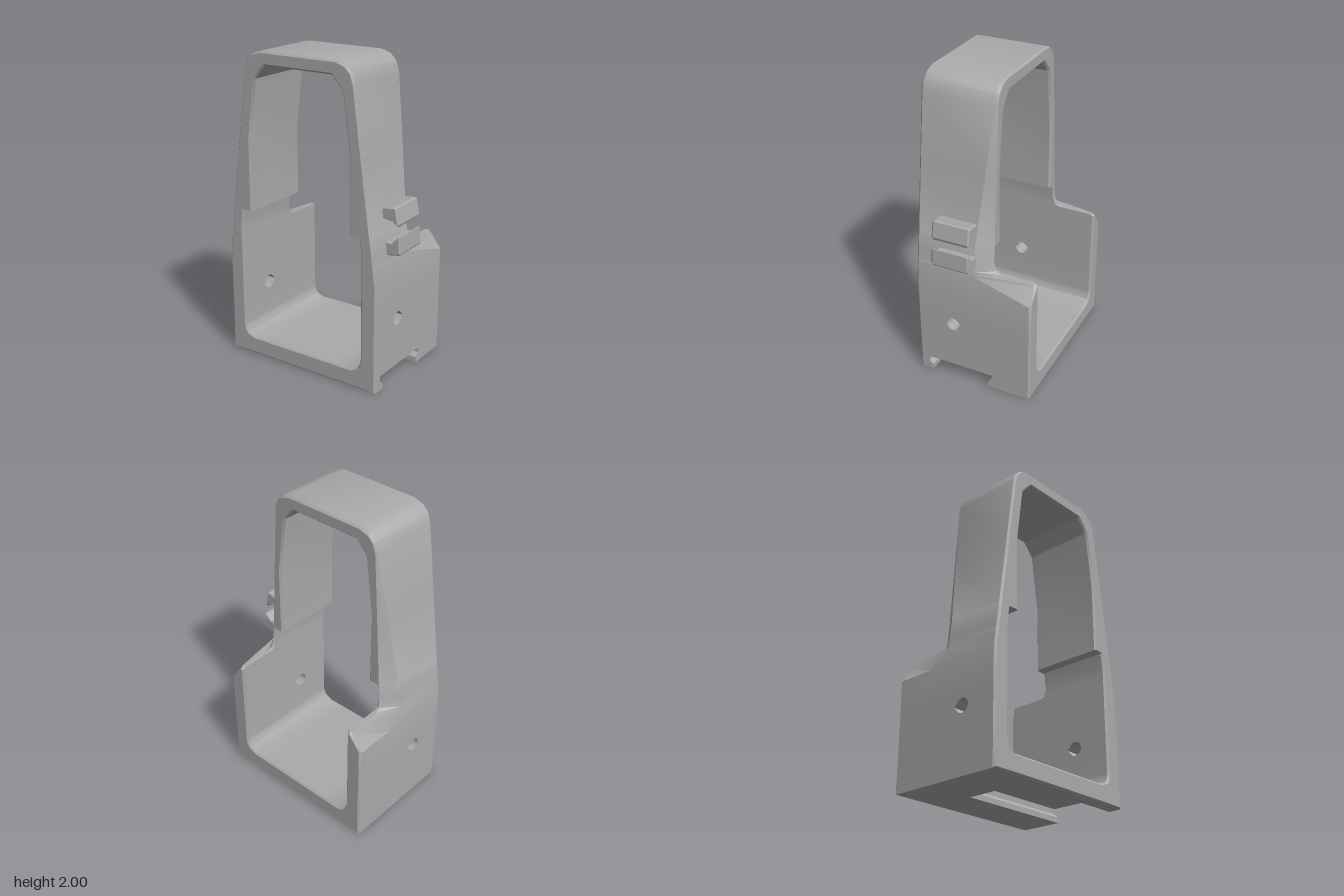
import * as THREE from 'three';
import { toCreasedNormals } from 'three/addons/utils/BufferGeometryUtils.js';

const FRONT = 0.39, BACK = -0.39, BEVEL = 0.012;

// Stations up the right half of the frame:
// outer x, outer y, inner x, inner y, back z, z where the rear chamfer starts, chamfer width
const LOW = [BACK, BACK + BEVEL, 0];
const HALF = [
  [0.235, 0, 0.235, 0.12, ...LOW],
  [0.38, 0, 0.375, 0.12, ...LOW],
  [0.555, 0, 0.425, 0.14, ...LOW],
  [0.555, 0.10, 0.443, 0.175, ...LOW],
  [0.555, 0.20, 0.445, 0.20, ...LOW],
  [0.555, 0.33, 0.445, 0.33, ...LOW],
  [0.555, 0.49, 0.445, 0.49, ...LOW],
  [0.555, 0.70, 0.445, 0.70, BACK, -0.13, 0],
  [0.541, 0.80, 0.445, 0.80, BACK, -0.01, 0.062],
  [0.540, 0.812, 0.445, 0.812, BACK + BEVEL, 0, 0.065],
  [0.539, 0.815, 0.445, 0.815, -0.15, 0, 0.065],
  [0.537, 0.83, 0.445, 0.83, -0.118, 0, 0.065],
  [0.531, 0.88, 0.445, 0.88, -0.10, 0, 0.065],
  [0.516, 0.988, 0.43, 0.988, -0.10, -0.005, 0.059],
  [0.515, 0.99, 0.365, 0.99, -0.10, -0.005, 0.059],
  [0.453, 1.45, 0.365, 1.45, -0.10, -0.048, 0.028],
  [0.395, 1.88, 0.315, 1.83, -0.10, -0.086, 0.001],
  [0.375, 1.94, 0.29, 1.858, -0.10, -0.086, 0.001],
  [0.335, 1.98, 0.265, 1.887, -0.10, -0.086, 0.001],
  [0.27, 2, 0.24, 1.915, -0.10, -0.086, 0.001],
];

// Nine-point bevelled cross-section at one station
function section([ox, oy, ix, iy, zb, cz, cut]) {
  const O = new THREE.Vector2(ox, oy), I = new THREE.Vector2(ix, iy);
  const C = new THREE.Vector2(ox - cut * Math.sign(ox), oy);
  const d = I.clone().sub(O).normalize().multiplyScalar(BEVEL);
  const at = (p, z, k = 0) => [p.x + d.x * k, p.y + d.y * k, z];
  return [
    at(O, FRONT - BEVEL), at(O, FRONT, 1), at(I, FRONT, -1), at(I, FRONT - BEVEL),
    at(I, zb + BEVEL), at(I, zb, -1), at(C, zb, 1), at(C, zb + BEVEL), at(O, cz),
  ];
}

// Closed ring through all stations, leaving gaps for the drilled walls and the slotted base
function frameGeometry() {
  const left = HALF.map(([ox, oy, ix, ...r]) => [-ox, oy, -ix, ...r]).reverse();
  const stations = [...HALF, ...left];
  const rings = stations.map(section);
  const n = stations.length, pos = [];
  for (let j = 0; j < n; j++) {
    const s = stations[j], t = stations[(j + 1) % n];
    const A = rings[j], B = rings[(j + 1) % n];
    const drilled = Math.min(s[1], t[1]) === 0.33 && Math.max(s[1], t[1]) === 0.49;
    const slotted = j < 3 || j === n - 1;
    for (let k = 0; k < 9; k++) {
      if (drilled && (k === 8 || k === 3)) continue;
      if (slotted && k === 8) continue;
      const m = (k + 1) % 9;
      pos.push(...A[k], ...B[m], ...A[m], ...A[k], ...B[k], ...B[m]);
    }
  }
  const g = new THREE.BufferGeometry();
  g.setAttribute('position', new THREE.Float32BufferAttribute(pos, 3));
  return toCreasedNormals(g, 0.5);
}

// Polygon from points given as [z, y], for extruding along x
const sidePoints = (pts) => pts.map(([z, y]) => new THREE.Vector2(-z, y));
function extrudeX(shape, x0, x1) {
  return new THREE.ExtrudeGeometry(shape, { depth: x1 - x0, bevelEnabled: false })
    .rotateY(Math.PI / 2).translate(x0, 0, 0);
}

export function createModel() {
  const model = new THREE.Group();
  const body = new THREE.Group();
  body.name = 'body';
  body.position.x = -0.035;
  model.add(body);

  const grey = new THREE.MeshStandardMaterial({ color: 0xaaaaaa });
  grey.name = 'grey plastic';
  const add = (parent, name, geometry) => {
    const mesh = new THREE.Mesh(geometry, grey);
    mesh.name = name;
    parent.add(mesh);
  };

  add(body, 'frame', frameGeometry());

  // Wall bands with a teardrop hole
  const e = FRONT - BEVEL;
  const band = new THREE.Shape(sidePoints([[e, 0.33], [-e, 0.33], [-e, 0.49], [e, 0.49]]));
  const hole = new THREE.Path();
  hole.absarc(-0.14, 0.41, 0.045, Math.PI / 4, Math.PI * 1.75, false);
  hole.lineTo(-0.08, 0.41);
  hole.closePath();
  band.holes.push(hole);
  add(body, 'rightWallBand', extrudeX(band, 0.445, 0.555));
  add(body, 'leftWallBand', extrudeX(band, -0.555, -0.445));

  // Base with an undercut slot open at the side
  const base = new THREE.Shape(sidePoints([
    [e, 0], [0.30, 0], [0.30, 0.035], [0.33, 0.06], [0.33, 0.095],
    [-0.13, 0.095], [-0.13, 0.06], [-0.10, 0.035], [-0.10, 0], [-e, 0],
    [-e, 0.10], [e, 0.10],
  ]));
  add(body, 'slottedBase', extrudeX(base, -0.235, 0.555));
  add(body, 'slotEnd', new THREE.BoxGeometry(0.02, 0.1, 0.5).translate(-0.245, 0.052, 0.1));

  // Pair of clip jaws on the side
  const clips = new THREE.Group();
  clips.name = 'clip';
  model.add(clips);
  const jaws = {
    upperJaw: [[0.44, 1.08], [0.525, 1.07], [0.565, 1.04], [0.57, 1.055], [0.55, 1.15], [0.54, 1.155], [0.44, 1.14]],
    lowerJaw: [[0.46, 0.87], [0.50, 0.853], [0.575, 0.865], [0.583, 0.875], [0.578, 0.975], [0.57, 0.975], [0.53, 0.935], [0.46, 0.935]],
  };
  for (const [name, pts] of Object.entries(jaws)) {
    const shape = new THREE.Shape(pts.map(([x, y]) => new THREE.Vector2(x, y)));
    const g = new THREE.ExtrudeGeometry(shape, {
      depth: 0.23, bevelThickness: 0.01, bevelSize: 0.008, bevelOffset: -0.006, bevelSegments: 1,
    });
    add(clips, name, g.translate(0, 0, 0));
  }
  return model;
}
